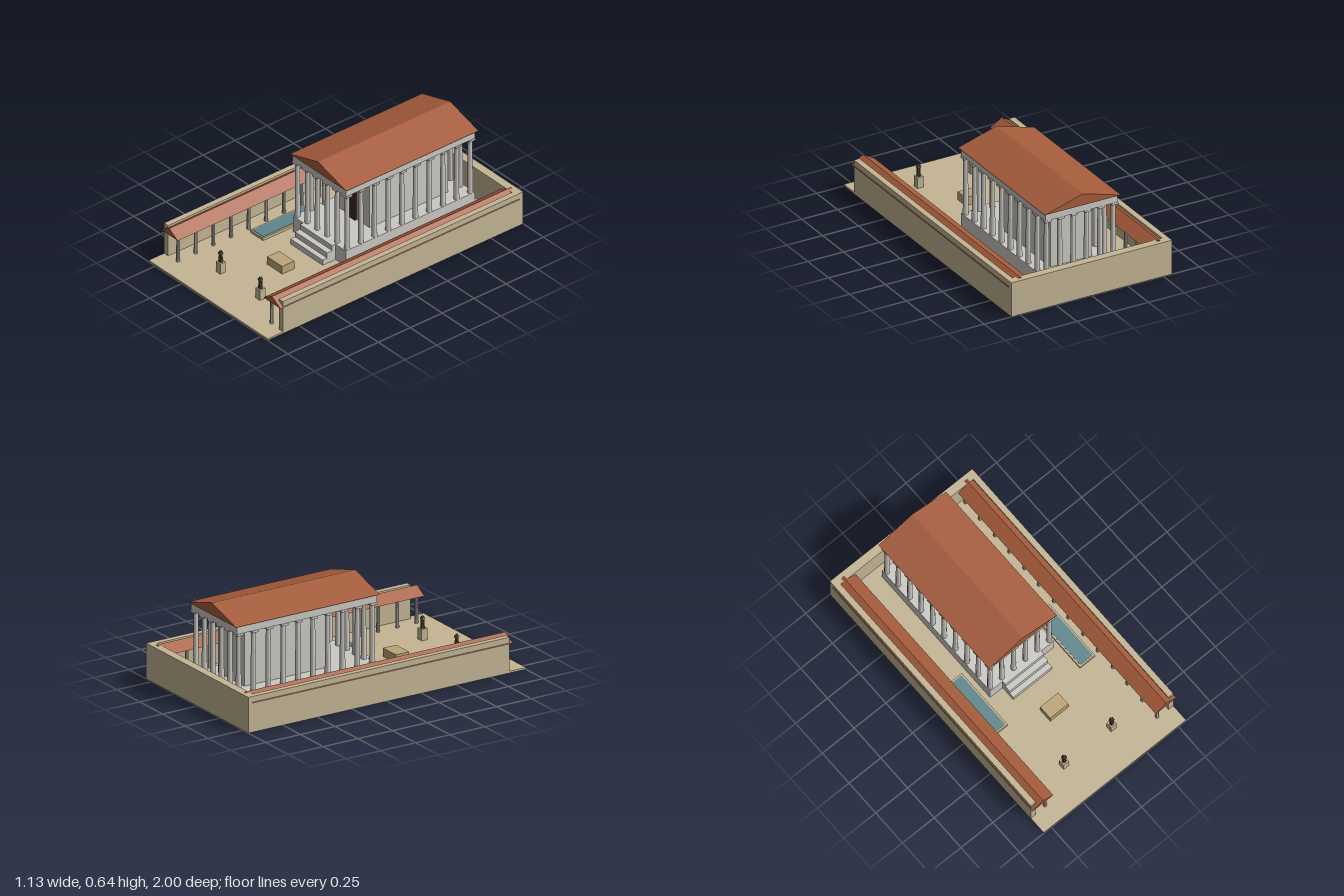
import * as THREE from 'three';

const mat = (color) => new THREE.MeshStandardMaterial({ color, flatShading: true });

export function createModel() {
  const model = new THREE.Group();
  const earth = mat(0xc4b594), tile = mat(0xa65c3c), stone = mat(0xcccac4), water = mat(0x5d868c);
  const wood = mat(0x3a2a20), bronze = mat(0x554a32), altarStone = mat(0xbda578);

  const add = (name, geometry, material, x = 0, y = 0, z = 0, parent = model) => {
    const mesh = new THREE.Mesh(geometry, material);
    mesh.name = name;
    mesh.position.set(x, y, z);
    parent.add(mesh);
    return mesh;
  };

  // Box given by its limits on each axis
  const box = (name, material, x0, x1, y0, y1, z0, z1, parent) =>
    add(name, new THREE.BoxGeometry(x1 - x0, y1 - y0, z1 - z0), material,
      (x0 + x1) / 2, (y0 + y1) / 2, (z0 + z1) / 2, parent);

  // Gabled roof with its ridge along z
  const gable = (name, half, height, x, y, z0, z1, parent) => {
    const s = new THREE.Shape([
      new THREE.Vector2(-half, 0), new THREE.Vector2(half, 0), new THREE.Vector2(0, height),
    ]);
    const g = new THREE.ExtrudeGeometry(s, { depth: z1 - z0, bevelEnabled: false });
    return add(name, g, tile, x, y, z0, parent);
  };

  const FLOOR = 0.012, PODIUM = 0.122;

  // Court floor and enclosing walls
  box('courtFloor', earth, -0.56, 0.56, 0, FLOOR, -1, 1);
  box('backWall', earth, -0.56, 0.56, 0, 0.23, -1, -0.945);

  // Side walls, porticoes, pools and statues, mirrored
  const porticoColumn = new THREE.CylinderGeometry(0.01, 0.012, 0.178, 10);
  for (const side of [-1, 1]) {
    const wing = new THREE.Group();
    wing.name = side > 0 ? 'leftWing' : 'rightWing';
    model.add(wing);
    const sideBox = (name, m, xa, xb, ...rest) =>
      box(name, m, Math.min(side * xa, side * xb), Math.max(side * xa, side * xb), ...rest, wing);

    sideBox('sideWall', earth, 0.522, 0.56, 0, 0.23, -0.945, 0.88);
    gable('porticoRoof', 0.081, 0.048, side * 0.484, 0.19, -0.97, 0.903, wing);
    for (let i = 0; i < 14; i++) {
      add('porticoColumn', porticoColumn, stone, side * 0.441, FLOOR + 0.089, 0.87 - i * 0.138, wing);
    }

    sideBox('poolRim', earth, 0.284, 0.404, FLOOR, 0.03, -0.095, 0.335);
    sideBox('poolWater', water, 0.295, 0.394, 0.02, 0.032, -0.084, 0.325);

    const statue = new THREE.Group();
    statue.name = 'statue';
    statue.position.set(side * 0.187, 0, 0.747);
    wing.add(statue);
    box('pedestal', earth, -0.021, 0.021, FLOOR, 0.085, -0.021, 0.021, statue);
    add('statueBody', new THREE.CylinderGeometry(0.011, 0.014, 0.06, 8), bronze, 0, 0.115, 0, statue);
    add('statueShoulders', new THREE.CylinderGeometry(0.012, 0.018, 0.01, 6), bronze, 0, 0.15, 0, statue);
    add('statueHead', new THREE.SphereGeometry(0.009, 8, 6), bronze, 0, 0.157, 0, statue);
  }

  // Altar
  box('altar', altarStone, -0.071, 0.071, FLOOR, 0.067, 0.385, 0.48);

  // Temple podium and steps
  const temple = new THREE.Group();
  temple.name = 'temple';
  model.add(temple);
  box('podium', stone, -0.25, 0.25, FLOOR, PODIUM, -0.88, 0.13, temple);
  [[0.122, 0.156], [0.086, 0.195], [0.049, 0.23]].forEach(([top, front]) =>
    box('step', stone, -0.152, 0.152, FLOOR, top, 0.12, front, temple));

  // Inner chamber and door
  box('chamber', stone, -0.145, 0.145, PODIUM, 0.498, -0.755, -0.143, temple);
  box('door', wood, -0.027, 0.027, PODIUM, 0.328, -0.15, -0.125, temple);

  // Colonnade: 6 by 10 columns round the edge
  const shaft = new THREE.CylinderGeometry(0.0145, 0.0175, 0.38, 12);
  const capital = new THREE.BoxGeometry(0.046, 0.014, 0.046);
  for (let i = 0; i < 6; i++) {
    for (let j = 0; j < 10; j++) {
      if (i > 0 && i < 5 && j > 0 && j < 9) continue;
      const x = -0.233 + i * 0.0932, z = 0.107 - j * 0.107;
      add('columnShaft', shaft, stone, x, PODIUM + 0.19, z, temple);
      add('columnCapital', capital, stone, x, 0.507, z, temple);
    }
  }

  // Entablature and roof
  box('entablature', stone, -0.252, 0.252, 0.513, 0.565, -0.878, 0.13, temple);
  gable('templeRoof', 0.266, 0.077, 0, 0.565, -0.895, 0.14, temple);

  return model;
}
